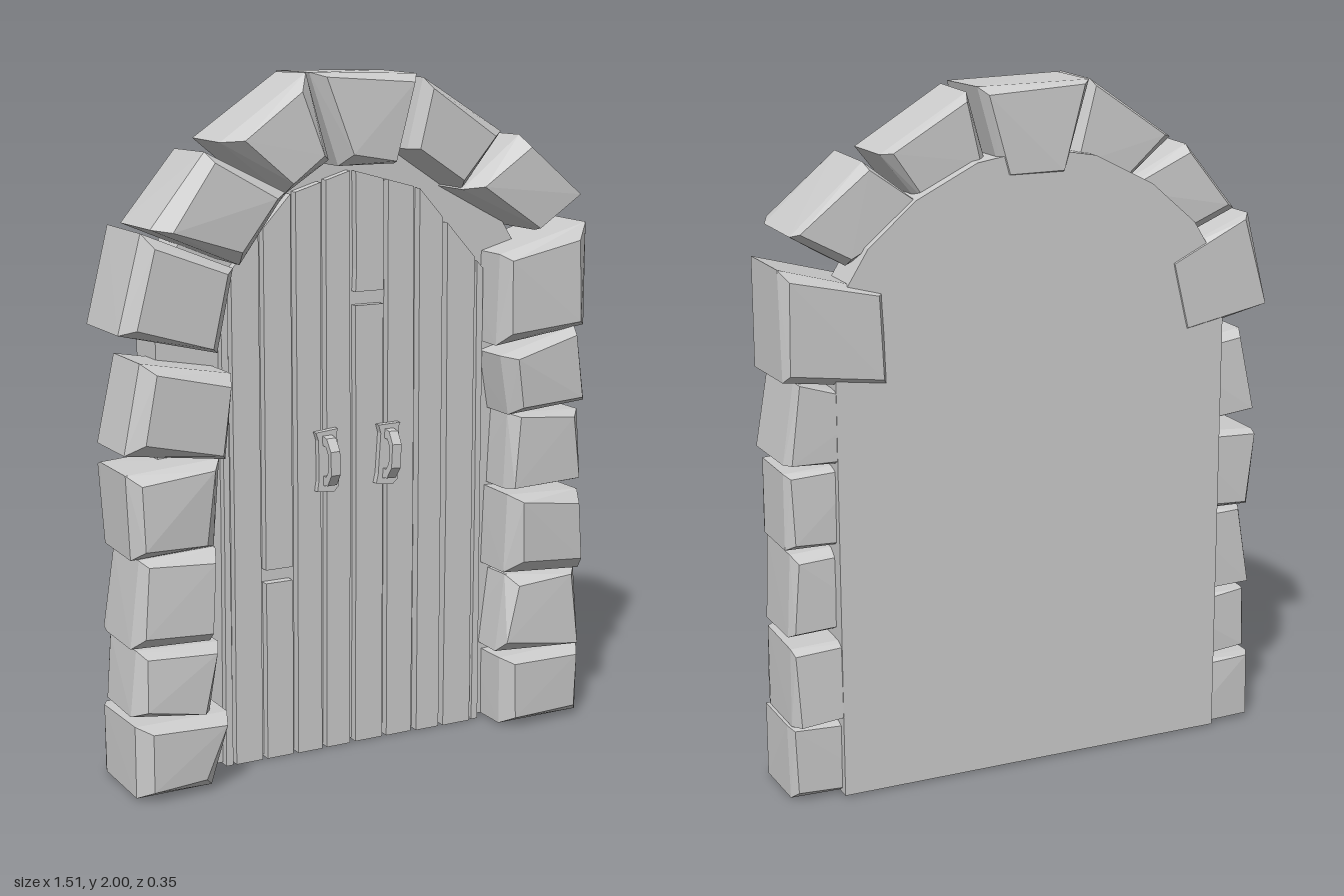
import * as THREE from 'three';
import { ConvexGeometry } from 'three/addons/geometries/ConvexGeometry.js';

const grey = new THREE.MeshStandardMaterial({ color: 0xcccccc, flatShading: true });

// Small seeded generator for the hand-cut irregularity
let seed = 7;
const jitter = (a) => {
  seed = (seed * 16807) % 2147483647;
  return (seed / 2147483647 - 0.5) * 2 * a;
};

function add(group, name, geometry) {
  const mesh = new THREE.Mesh(geometry, grey);
  mesh.name = name;
  group.add(mesh);
  return mesh;
}

// Flat outline pushed from z0 to z1
function slab(points, z0, z1) {
  const shape = new THREE.Shape(points.map(([x, y]) => new THREE.Vector2(x, y)));
  return new THREE.ExtrudeGeometry(shape, { depth: z1 - z0, bevelEnabled: false }).translate(0, 0, z0);
}

// Rough block: outline quad with chamfered back and front faces
function stone([zb, zf, ...c]) {
  const quad = [0, 2, 4, 6].map((i) => [c[i], c[i + 1]]);
  const cx = quad.reduce((s, p) => s + p[0], 0) / 4;
  const cy = quad.reduce((s, p) => s + p[1], 0) / 4;
  const rings = [[zb, 0.88, 0.01], [zb + 0.03, 0.99, 0.004], [zf - 0.045, 1, 0], [zf, 0.8, 0.016]];
  const points = [];
  for (const [z, k, j] of rings) {
    for (const [x, y] of quad) {
      points.push(new THREE.Vector3(
        cx + (x - cx) * k + jitter(j),
        Math.max(0.005, cy + (y - cy) * k + jitter(j)),
        z + jitter(j * 0.5)));
    }
  }
  return new ConvexGeometry(points);
}

// Each stone: back z, front z, then four corners x, y
const rightPillar = [
  [-0.13, 0.13, 0.47, 0.01, 0.75, 0.01, 0.75, 0.23, 0.47, 0.22],
  [-0.15, 0.12, 0.46, 0.24, 0.74, 0.23, 0.74, 0.47, 0.49, 0.48],
  [-0.11, 0.16, 0.46, 0.50, 0.73, 0.48, 0.72, 0.73, 0.47, 0.74],
  [-0.13, 0.12, 0.48, 0.75, 0.74, 0.75, 0.74, 0.97, 0.49, 0.98],
  [-0.15, 0.14, 0.48, 0.98, 0.75, 1.00, 0.71, 1.23, 0.45, 1.16],
  [-0.17, 0.13, 0.44, 1.19, 0.75, 1.23, 0.75, 1.54, 0.45, 1.46],
];
const leftPillar = [
  [-0.14, 0.16, -0.74, 0.01, -0.51, 0.01, -0.46, 0.22, -0.74, 0.22],
  [-0.13, 0.13, -0.74, 0.24, -0.50, 0.22, -0.47, 0.42, -0.72, 0.43],
  [-0.12, 0.14, -0.74, 0.44, -0.50, 0.43, -0.48, 0.70, -0.71, 0.69],
  [-0.14, 0.13, -0.73, 0.69, -0.48, 0.70, -0.46, 0.95, -0.74, 0.93],
  [-0.12, 0.15, -0.75, 0.99, -0.45, 0.95, -0.43, 1.19, -0.70, 1.24],
  [-0.16, 0.15, -0.76, 1.32, -0.47, 1.25, -0.42, 1.48, -0.69, 1.59],
];
const archStones = [
  [-0.11, 0.17, -0.67, 1.60, -0.41, 1.49, -0.27, 1.68, -0.51, 1.80],
  [-0.12, 0.14, -0.45, 1.82, -0.26, 1.67, -0.12, 1.76, -0.19, 2.00],
  [-0.16, 0.12, -0.08, 1.74, 0.10, 1.74, 0.17, 1.99, -0.17, 2.00],
  [-0.12, 0.14, 0.13, 1.78, 0.31, 1.66, 0.44, 1.82, 0.18, 1.98],
  [-0.13, 0.16, 0.30, 1.66, 0.55, 1.53, 0.70, 1.62, 0.49, 1.81],
];

// Height of the plank tops along the pointed curve of the door
const crown = [[-0.45, 1.38], [-0.2, 1.66], [0, 1.72], [0.22, 1.66], [0.46, 1.39]];
function topAt(x) {
  let i = 0;
  while (i < crown.length - 2 && x > crown[i + 1][0]) i++;
  const [[x0, y0], [x1, y1]] = [crown[i], crown[i + 1]];
  return y0 + ((y1 - y0) * (x - x0)) / (x1 - x0);
}

// Door planks: left and right edge, optional height of a cross joint
const planks = [
  [-0.412, -0.39], [-0.38, -0.295], [-0.28, -0.195, 0.56], [-0.18, -0.1], [-0.083, -0.006],
  [0.014, 0.105, 1.35], [0.12, 0.205], [0.222, 0.3], [0.315, 0.41], [0.42, 0.442],
];

// Pull handle on an uneven backing plate
function handle(x, tilt) {
  const group = new THREE.Group();
  group.name = 'handle';
  add(group, 'handlePlate', slab([[-0.035, -0.09], [0.02, -0.095], [0.035, -0.08], [0.032, 0.08],
    [0.036, 0.09], [-0.036, 0.085], [-0.028, 0.06], [-0.03, -0.06]], 0, 0.02));
  // Grip profile in side section, with an open middle
  const profile = new THREE.Shape([[0.01, -0.075], [0.045, -0.07], [0.07, -0.035], [0.07, 0.035],
    [0.045, 0.07], [0.01, 0.075]].map(([a, b]) => new THREE.Vector2(a, b)));
  profile.holes.push(new THREE.Path([[0.01, -0.045], [0.035, -0.045], [0.05, -0.025], [0.05, 0.025],
    [0.035, 0.045], [0.01, 0.045]].map(([a, b]) => new THREE.Vector2(a + 0.002, b))));
  const grip = new THREE.ExtrudeGeometry(profile, { depth: 0.03, bevelEnabled: false });
  add(group, 'handleGrip', grip.translate(0, 0, -0.015).rotateY(-Math.PI / 2));
  group.position.set(x, 0.89, 0.008);
  group.rotation.z = tilt;
  return group;
}

export function createModel() {
  const model = new THREE.Group();
  model.name = 'archedDoor';

  // Backing panel behind door and stones
  add(model, 'backPanel', slab([[-0.6, 0.01], [0.6, 0.01], [0.6, 1.42], [0.5, 1.58], [0.36, 1.7], [0.18, 1.79],
    [0, 1.82], [-0.18, 1.79], [-0.36, 1.7], [-0.5, 1.58], [-0.6, 1.42]], -0.155, -0.02));

  // Planks, some split by a cross joint
  const door = new THREE.Group();
  door.name = 'door';
  for (const [x0, x1, joint] of planks) {
    const spans = joint ? [[0.005, joint - 0.02], [joint + 0.02, null]] : [[0.005, null]];
    const front = 0.008 + jitter(0.004);
    for (const [y0, y1] of spans) {
      const a = x0 + jitter(0.004), b = x1 + jitter(0.004), mid = (y0 + (y1 ?? 1.5)) / 2;
      add(door, 'plank', slab([[x0, y0], [x1, y0], [b, mid], [x1, y1 ?? topAt(x1)],
        [x0, y1 ?? topAt(x0)], [a, mid]], -0.03, front));
    }
  }
  door.add(handle(-0.09, 0.02), handle(0.11, -0.05));
  model.add(door);

  // Stone surround
  const surround = { rightPillarStone: rightPillar, leftPillarStone: leftPillar, archStone: archStones };
  for (const [name, list] of Object.entries(surround)) {
    for (const block of list) add(model, name, stone(block));
  }
  return model;
}
